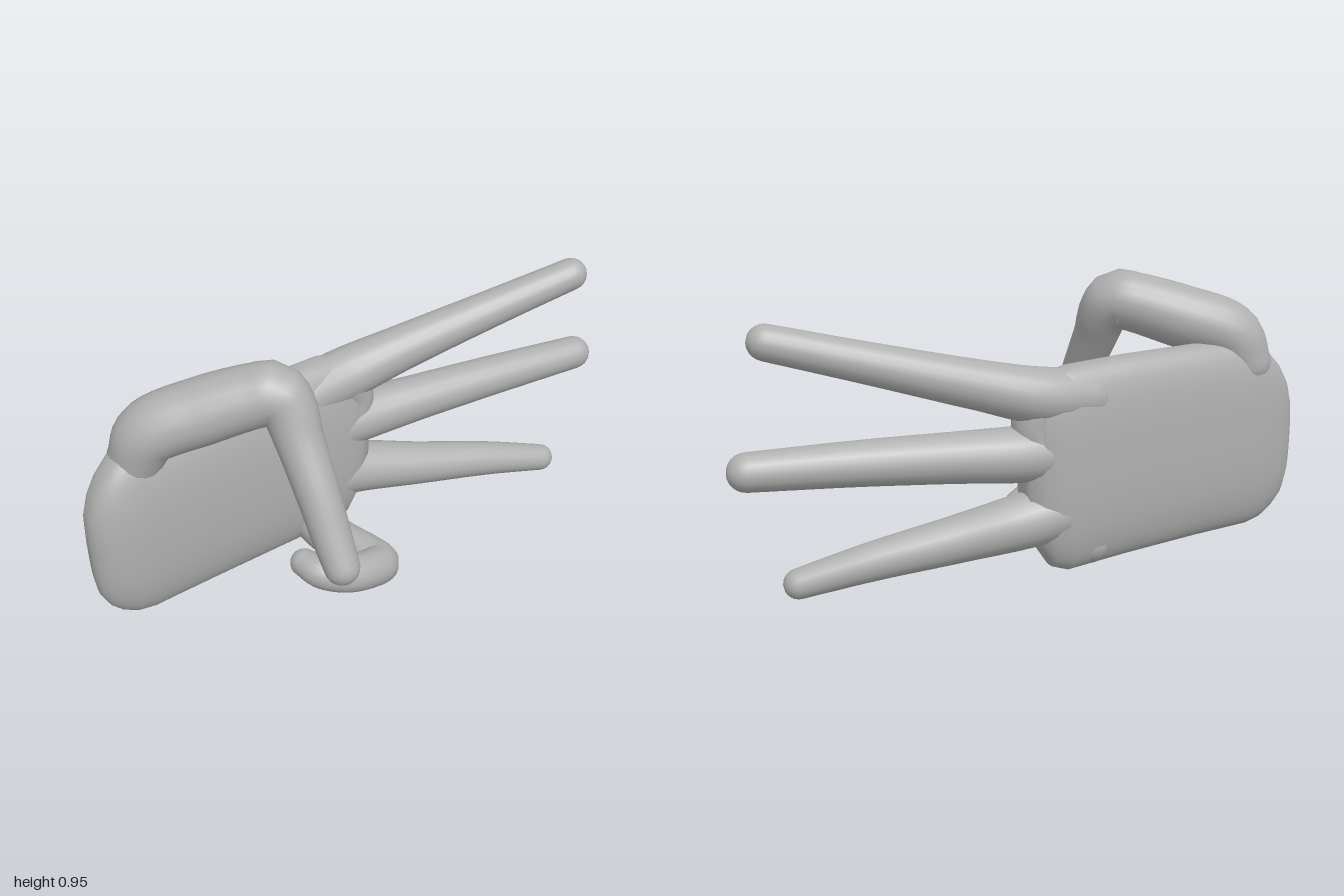
import * as THREE from 'three';

// Skin a list of closed rings (arrays of Vector3) and close both ends.
function loft(rings) {
  const n = rings[0].length, pos = [], idx = [];
  rings.forEach(r => r.forEach(p => pos.push(p.x, p.y, p.z)));
  for (let i = 0; i < rings.length - 1; i++) {
    for (let j = 0; j < n; j++) {
      const a = i * n + j, b = i * n + (j + 1) % n;
      idx.push(a, b, a + n, b, b + n, a + n);
    }
  }
  const addCap = (ring, start, flip) => {
    const c = ring.reduce((s, p) => s.add(p), new THREE.Vector3()).divideScalar(n);
    const k = pos.length / 3;
    pos.push(c.x, c.y, c.z);
    for (let j = 0; j < n; j++) {
      const a = start + j, b = start + (j + 1) % n;
      if (flip) idx.push(b, a, k); else idx.push(a, b, k);
    }
  };
  addCap(rings[0], 0, true);
  addCap(rings[rings.length - 1], (rings.length - 1) * n, false);
  const g = new THREE.BufferGeometry();
  g.setAttribute('position', new THREE.Float32BufferAttribute(pos, 3));
  g.setIndex(idx);
  g.computeVertexNormals();
  return g;
}

// Tapered finger with round ends; each entry is [x, y, z, radius].
function fingerGeometry(points, sides = 20, steps = 48) {
  const path = new THREE.CatmullRomCurve3(points.map(p => new THREE.Vector3(p[0], p[1], p[2])));
  const radii = new THREE.CatmullRomCurve3(
    points.map(p => new THREE.Vector3(p[3], 0, 0)), false, 'catmullrom');
  const frames = path.computeFrenetFrames(steps, false);
  const rings = [];
  const addRing = (i, along, scale) => {
    const u = i / steps;
    const r = radii.getPoint(path.getUtoTmapping(u)).x;
    const c = path.getPointAt(u).addScaledVector(frames.tangents[i], along * r);
    rings.push(Array.from({ length: sides }, (_, j) => {
      const a = j / sides * Math.PI * 2;
      return c.clone()
        .addScaledVector(frames.normals[i], Math.cos(a) * r * scale)
        .addScaledVector(frames.binormals[i], Math.sin(a) * r * scale);
    }));
  };
  const cap = 6;
  for (let k = 1; k < cap; k++) {
    const a = k / cap * Math.PI / 2;
    addRing(0, -Math.cos(a), Math.sin(a));
  }
  for (let i = 0; i <= steps; i++) addRing(i, 0, 1);
  for (let k = cap - 1; k > 0; k--) {
    const a = k / cap * Math.PI / 2;
    addRing(steps, Math.cos(a), Math.sin(a));
  }
  return loft(rings);
}

// Flat rounded palm from sections [x, centre y, half height, centre z, half depth].
function palmGeometry() {
  const sections = [
    [-1.0, 0.34, 0.1, -0.2, 0.02],
    [-0.99, 0.34, 0.17, -0.2, 0.045],
    [-0.965, 0.345, 0.225, -0.2, 0.068],
    [-0.93, 0.355, 0.27, -0.2, 0.083],
    [-0.88, 0.365, 0.31, -0.203, 0.094],
    [-0.82, 0.375, 0.333, -0.208, 0.1],
    [-0.6, 0.382, 0.342, -0.222, 0.101],
    [-0.3, 0.378, 0.346, -0.243, 0.101],
    [-0.08, 0.37, 0.348, -0.26, 0.1],
    [-0.02, 0.375, 0.33, -0.262, 0.094],
    [0.03, 0.4, 0.28, -0.26, 0.08],
    [0.07, 0.42, 0.22, -0.255, 0.05],
  ];
  const sides = 48;
  const bend = (v, e) => Math.sign(v) * Math.pow(Math.abs(v), e);
  return loft(sections.map(([x, cy, hy, cz, hz]) =>
    Array.from({ length: sides }, (_, j) => {
      const a = j / sides * Math.PI * 2, c = Math.cos(a), s = Math.sin(a);
      // upper back edge is the squarest, the others are softer
      const e = c > 0 && s < 0 ? 0.62 : 0.8;
      return new THREE.Vector3(x, cy + hy * bend(c, e), cz + hz * bend(s, e));
    })));
}

export function createModel() {
  const group = new THREE.Group();
  group.name = 'hand';
  const skin = new THREE.MeshStandardMaterial({ color: 0xb0b0b0 });
  skin.name = 'plain grey';
  const add = (name, geometry) => {
    const mesh = new THREE.Mesh(geometry, skin);
    mesh.name = name;
    group.add(mesh);
  };

  add('palm', palmGeometry());

  const fingers = {
    // bent over in front of the palm
    thumb: [
      [-0.8, 0.64, -0.215, 0.09], [-0.755, 0.735, -0.19, 0.104], [-0.6, 0.798, -0.115, 0.108],
      [-0.46, 0.845, -0.035, 0.102], [-0.41, 0.855, 0.0, 0.1], [-0.385, 0.81, 0.035, 0.09],
      [-0.38, 0.72, 0.085, 0.078], [-0.375, 0.56, 0.18, 0.07], [-0.372, 0.43, 0.25, 0.064],
      [-0.37, 0.345, 0.3, 0.058],
    ],
    // stretched out
    indexFinger: [
      [-0.15, 0.61, -0.26, 0.09], [0.02, 0.63, -0.26, 0.092], [0.22, 0.68, -0.222, 0.08],
      [0.55, 0.768, -0.142, 0.066], [0.84, 0.846, -0.068, 0.057],
    ],
    middleFinger: [
      [-0.15, 0.44, -0.26, 0.09], [0.06, 0.44, -0.252, 0.092], [0.3, 0.45, -0.215, 0.082],
      [0.6, 0.46, -0.165, 0.072], [0.93, 0.465, -0.112, 0.061],
    ],
    ringFinger: [
      [-0.15, 0.25, -0.26, 0.09], [0.03, 0.22, -0.258, 0.094], [0.28, 0.168, -0.2, 0.079],
      [0.55, 0.115, -0.135, 0.064], [0.775, 0.06, -0.078, 0.05],
    ],
    // curled forward and back in
    littleFinger: [
      [-0.17, 0.105, -0.25, 0.08], [-0.16, 0.095, -0.1, 0.076], [-0.11, 0.09, 0.05, 0.071],
      [-0.1, 0.092, 0.11, 0.07], [-0.15, 0.115, 0.14, 0.067], [-0.26, 0.15, 0.15, 0.064],
      [-0.34, 0.175, 0.115, 0.056], [-0.365, 0.183, 0.055, 0.048],
    ],
  };
  for (const [name, points] of Object.entries(fingers)) add(name, fingerGeometry(points));

  // webs filling the gaps between the stretched fingers
  add('upperWeb', fingerGeometry([
    [0.0, 0.62, -0.258, 0.085], [0.035, 0.53, -0.255, 0.075], [0.0, 0.44, -0.258, 0.085]]));
  add('lowerWeb', fingerGeometry([
    [0.0, 0.44, -0.258, 0.085], [-0.015, 0.33, -0.258, 0.08], [0.0, 0.23, -0.258, 0.085]]));

  return group;
}
